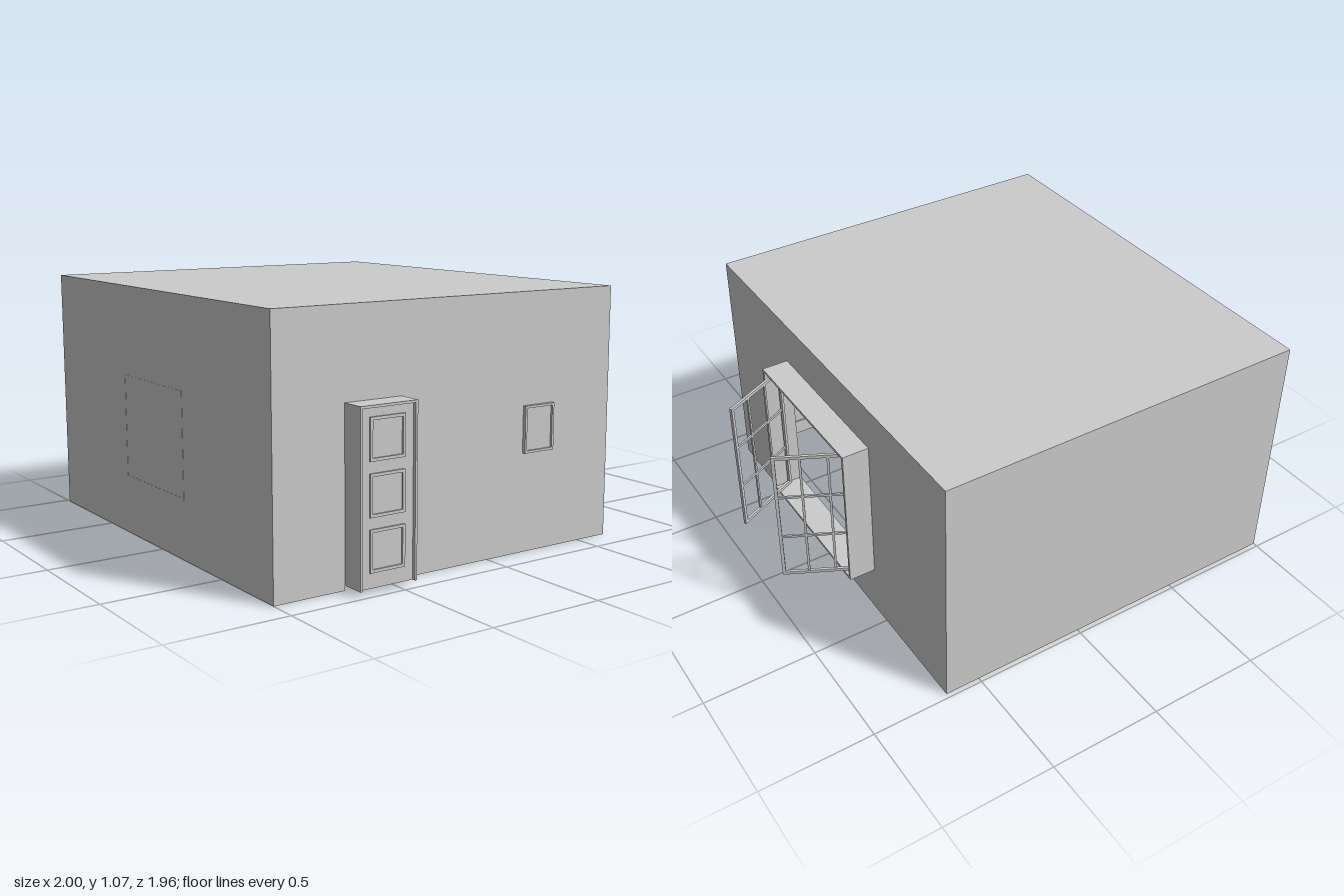
import * as THREE from 'three';

const mat = new THREE.MeshStandardMaterial({ color: 0xcccccc, side: THREE.DoubleSide });
const flat = new THREE.MeshStandardMaterial({ color: 0xcccccc, side: THREE.DoubleSide, flatShading: true });

function mesh(parent, name, geo, x = 0, y = 0, z = 0, m = mat) {
  const o = new THREE.Mesh(geo, m);
  o.name = name;
  o.position.set(x, y, z);
  parent.add(o);
  return o;
}

// Box given by its limits on each axis
function box(parent, name, x0, x1, y0, y1, z0, z1) {
  return mesh(parent, name, new THREE.BoxGeometry(x1 - x0, y1 - y0, z1 - z0),
    (x0 + x1) / 2, (y0 + y1) / 2, (z0 + z1) / 2);
}

function group(parent, name) {
  const g = new THREE.Group();
  g.name = name;
  parent.add(g);
  return g;
}

const rect = (P, x0, x1, y0, y1) => {
  const p = new P();
  p.moveTo(x0, y0).lineTo(x1, y0).lineTo(x1, y1).lineTo(x0, y1).closePath();
  return p;
};

// Rectangular ring in the XY plane with bar width w and depth d
function ring(parent, name, x0, x1, y0, y1, w, d) {
  const s = rect(THREE.Shape, x0, x1, y0, y1);
  s.holes.push(rect(THREE.Path, x0 + w, x1 - w, y0 + w, y1 - w));
  return mesh(parent, name, new THREE.ExtrudeGeometry(s, { depth: d, bevelEnabled: false }));
}

const X0 = -1, X1 = 0.655, Z0 = -0.98, Z1 = 0.88, TOP = 1.07, CEIL = 1.06;

function buildShell(root) {
  const g = group(root, 'room');
  box(g, 'roof', X0, X1, CEIL, TOP, Z0, Z1);
  // Front wall with a doorway notch
  const f = new THREE.Shape();
  [[X0, 0], [-0.69, 0], [-0.69, 0.705], [-0.43, 0.705], [-0.43, 0], [X1, 0], [X1, CEIL], [X0, CEIL]]
    .forEach(([x, y], i) => (i ? f.lineTo(x, y) : f.moveTo(x, y)));
  mesh(g, 'frontWall', new THREE.ShapeGeometry(f), 0, 0, Z1);
  mesh(g, 'backWall', new THREE.ShapeGeometry(rect(THREE.Shape, -X1, -X0, 0, CEIL)), 0, 0, Z0).rotation.y = Math.PI;
  mesh(g, 'leftSideWall', new THREE.ShapeGeometry(rect(THREE.Shape, Z0, Z1, 0, CEIL)), X0).rotation.y = -Math.PI / 2;
  // Window wall, local x runs along -z
  const r = rect(THREE.Shape, -Z1, -Z0, 0, CEIL);
  r.holes.push(rect(THREE.Path, -0.3, 0.41, 0.225, 0.88));
  mesh(g, 'windowWall', new THREE.ShapeGeometry(r), X1).rotation.y = Math.PI / 2;
  // Baseboards inside
  const h = 0.07, t = 0.01, e = 0.002;
  box(g, 'baseboard', X0 + e, -0.69, 0, h, Z1 - t, Z1 - e);
  box(g, 'baseboard', -0.43, X1 - e, 0, h, Z1 - t, Z1 - e);
  box(g, 'baseboard', X0 + e, X1 - e, 0, h, Z0 + e, Z0 + t);
  box(g, 'baseboard', X0 + e, X0 + t, 0, h, Z0 + t, Z1 - t);
  box(g, 'baseboard', X1 - t, X1 - e, 0, h, Z0 + t, Z1 - t);
}

function buildDoor(root) {
  const g = group(root, 'door');
  const x0 = -0.69, x1 = -0.43, y0 = 0.02, y1 = 0.71, w = 0.01;
  for (const [a, b] of [[x0, x0 + w], [x1 - w, x1]]) box(g, 'doorJamb', a, b, y0, y1, Z1 - 0.01, 0.98);
  box(g, 'doorHead', x0 + w, x1 - w, y1 - w, y1, Z1 - 0.01, 0.98);
  box(g, 'doorSlab', x0 + w, x1 - w, y0, y1 - w, 0.935, 0.965);
  // Panel mouldings on both faces
  for (const y of [0.08, 0.29, 0.5])
    for (const z of [0.928, 0.965]) ring(g, 'doorPanelMoulding', -0.64, -0.48, y, y + 0.165, 0.012, 0.007).position.z = z;
}

function buildWindow(root) {
  const g = group(root, 'window');
  // Deep projecting surround
  const s = ring(g, 'windowSurround', -0.3, 0.41, 0.225, 0.88, 0.012, 0.125);
  s.position.x = 0.645;
  s.rotation.y = Math.PI / 2;
  // Two open casements, mirrored about the window centre
  for (const side of [1, -1]) {
    const c = group(g, 'casement');
    c.position.set(0.7, 0, -0.055 + side * 0.335);
    c.rotation.y = side * Math.atan2(0.15, 0.297);
    const L = 0.333, y0 = 0.24, y1 = 0.865, b = 0.014;
    ring(c, 'casementFrame', 0, L, y0, y1, b, 0.012).position.z = -0.006;
    for (const k of [1, 2]) {
      const x = L * k / 3, y = y0 + (y1 - y0) * k / 3;
      box(c, 'verticalGlazingBar', x - 0.005, x + 0.005, y0 + b, y1 - b, -0.004, 0.004);
      box(c, 'horizontalGlazingBar', b, L - b, y - 0.005, y + 0.005, -0.004, 0.004);
    }
  }
}

function buildPictures(root) {
  // Frame let into the left-hand wall
  const p = ring(root, 'wallFrame', -0.2, 0.33, 0.24, 0.69, 0.015, 0.022);
  p.position.x = X0 - 0.001;
  p.rotation.y = Math.PI / 2;
  // Small framed panel outside, beside the door
  const g = group(root, 'smallPicture');
  ring(g, 'smallPictureFrame', 0.18, 0.335, 0.415, 0.61, 0.01, 0.02).position.z = Z1 - 0.005;
  box(g, 'smallPicturePanel', 0.19, 0.325, 0.425, 0.6, Z1, Z1 + 0.006);
}

function buildTable(root) {
  const g = group(root, 'table');
  const x0 = -0.33, x1 = 0, z0 = -0.355, z1 = 0.22, top = 0.29;
  box(g, 'tableTop', x0, x1, top - 0.012, top, z0, z1);
  const a = 0.03, y0 = 0.245, y1 = top - 0.012;
  for (const x of [x0 + a, x1 - a]) box(g, 'apron', x - 0.006, x + 0.006, y0, y1, z0 + a, z1 - a);
  for (const z of [z0 + a, z1 - a]) box(g, 'apron', x0 + a, x1 - a, y0, y1, z - 0.006, z + 0.006);
  for (const x of [x0 + a, x1 - a]) for (const z of [z0 + a, z1 - a])
    mesh(g, 'tableLeg', new THREE.CylinderGeometry(0.013, 0.006, y1, 10), x, y1 / 2, z);

  // Rumpled cloth that falls over the window-side edge to a point
  const cloth = new THREE.PlaneGeometry(1, 1, 28, 24);
  const pos = cloth.attributes.position;
  for (let i = 0; i < pos.count; i++) {
    const u = pos.getX(i) + 0.5, v = pos.getY(i);
    const d = -0.22 + u * 0.275, over = Math.max(0, d - 0.005);
    const wide = over > 0 ? 0.22 * (1 - over * 7) : 0.22 + 0.13 * Math.min(1, -(d - 0.005) * 10);
    const z = -0.02 + v * wide;
    const ripple = 0.005 * (Math.sin(z * 75 + u * 9) + Math.sin(u * 22 - z * 40));
    pos.setXYZ(i, Math.min(d, 0.005) + (over ? 0.006 + ripple * 0.5 : 0), top + 0.012 + (over ? -over : ripple), z);
  }
  cloth.computeVertexNormals();
  mesh(g, 'cloth', cloth, 0, 0, 0, flat);

  // Vase
  const vase = [[0, 0], [0.02, 0], [0.024, 0.006], [0.038, 0.025], [0.041, 0.042], [0.034, 0.06], [0.016, 0.076],
    [0.012, 0.088], [0.014, 0.1], [0.021, 0.112], [0.018, 0.112], [0.009, 0.09]];
  mesh(g, 'vase', new THREE.LatheGeometry(vase.map(([r, y]) => new THREE.Vector2(r, y)), 24), -0.13, 0.3, -0.105);
  // Fruit and a shallow plate
  [[-0.08, -0.15], [-0.11, -0.17], [-0.06, -0.19]].forEach(([x, z]) =>
    mesh(g, 'fruit', new THREE.SphereGeometry(0.016, 14, 10), x, top + 0.016, z));
  const plate = [[0, 0], [0.03, 0], [0.055, 0.012], [0.052, 0.014], [0.028, 0.004], [0, 0.004]];
  mesh(g, 'plate', new THREE.LatheGeometry(plate.map(([r, y]) => new THREE.Vector2(r, y)), 24), -0.14, top, -0.26);
}

// Low slatted vent at the foot of the back wall
function buildVent(root) {
  const g = group(root, 'vent');
  box(g, 'ventRail', -0.87, -0.7, 0.035, 0.045, -0.96, -0.9);
  for (let i = 0; i < 7; i++) {
    const x = -0.865 + i * 0.0258;
    box(g, 'ventSlat', x, x + 0.006, 0.01, 0.035, -0.955, -0.905);
  }
}

export function createModel() {
  const root = new THREE.Group();
  root.name = 'roomWithOpenWindow';
  [buildShell, buildDoor, buildWindow, buildPictures, buildTable, buildVent].forEach((build) => build(root));
  return root;
}
